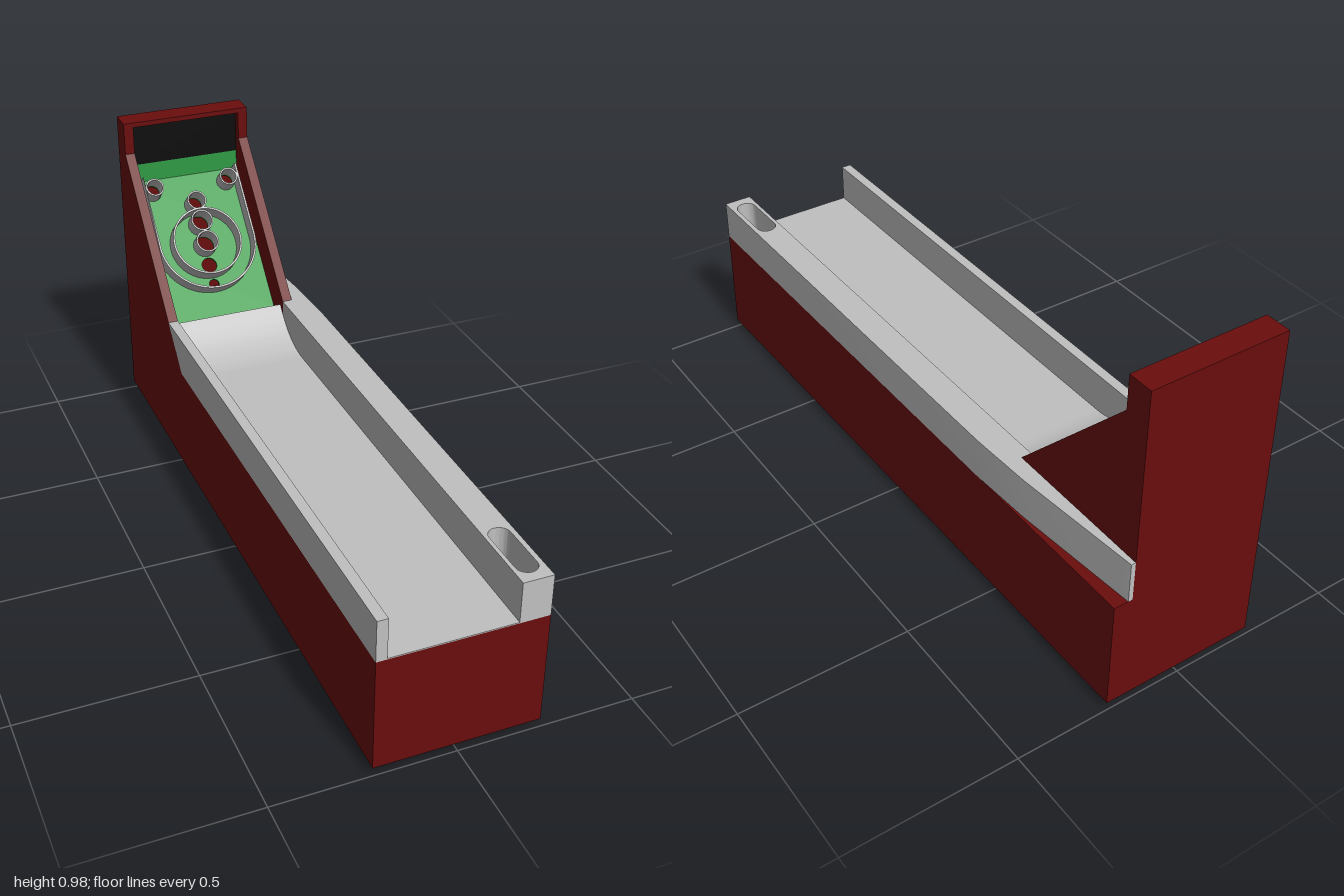
import * as THREE from 'three';
import { toCreasedNormals } from 'three/addons/utils/BufferGeometryUtils.js';

const material = (name, color) => {
  const m = new THREE.MeshStandardMaterial({ color });
  m.name = name;
  return m;
};

export function createModel() {
  const red = material('dark red', 0x6a0d0d);
  const grey = material('light grey', 0xc0c0c0);
  const green = material('green', 0x2f9a43);
  const black = material('black', 0x0d0d0d);

  const model = new THREE.Group();
  model.name = 'alleyRollGame';

  const add = (name, geometry, mat, parent = model) => {
    const mesh = new THREE.Mesh(geometry, mat);
    mesh.name = name;
    parent.add(mesh);
    return mesh;
  };
  // Box from its minimum and maximum corners
  const box = (name, mat, [x0, y0, z0], [x1, y1, z1]) => {
    const g = new THREE.BoxGeometry(x1 - x0, y1 - y0, z1 - z0);
    g.translate((x0 + x1) / 2, (y0 + y1) / 2, (z0 + z1) / 2);
    return add(name, g, mat);
  };
  const polygon = pts => new THREE.Shape(pts.map(([x, y]) => new THREE.Vector2(x, y)));
  const circle = (Type, x, y, r) => new Type().absarc(x, y, r, 0, Math.PI * 2, false);
  const extrude = (shape, depth, curveSegments = 24) => toCreasedNormals(
    new THREE.ExtrudeGeometry(shape, { depth, curveSegments, bevelEnabled: false }), 0.6);
  // Side profile in (z, y), spanning x0 to x1
  const profile = (name, mat, shape, x0, x1) => {
    const g = extrude(shape, x1 - x0);
    g.rotateY(-Math.PI / 2);
    g.translate(x1, 0, 0);
    return add(name, g, mat);
  };

  const inL = -0.2, inR = 0.145, deck = 0.355, railTop = 0.475;

  // Base cabinet and the ball underneath
  box('base', red, [-0.23, 0.025, -1], [0.23, deck, 1]);
  const ball = new THREE.SphereGeometry(0.02, 12, 8);
  ball.translate(-0.028, 0.02, -0.255);
  add('ball', ball, grey);

  // Lane with the upswept ramp
  const lane = new THREE.Shape();
  lane.moveTo(1, deck);
  lane.lineTo(1, deck + 0.003);
  lane.lineTo(-0.38, deck + 0.003);
  lane.quadraticCurveTo(-0.49, deck + 0.003, -0.565, 0.455);
  lane.lineTo(-0.565, 0.445);
  lane.quadraticCurveTo(-0.49, deck, -0.38, deck);
  profile('laneAndRamp', grey, lane, inL, inR);

  // Right-hand narrow rail, cut off along the cabinet slope
  profile('narrowRail', grey,
    polygon([[1, deck], [1, railTop], [-0.543, railTop], [-0.43, deck]]), -0.23, inL);

  // Wide rail with the ball slot and a tapering rear end, drawn in (x, -z)
  const rail = polygon([[inR, -1], [0.23, -1], [0.23, 0.43], [0.222, 0.62], [0.188, 1],
    [0.175, 1], [0.175, 0.543], [inR, 0.543]]);
  const slot = new THREE.Path();
  slot.absarc(0.186, -0.81, 0.03, 0, Math.PI, false);
  slot.absarc(0.186, -0.94, 0.03, Math.PI, Math.PI * 2, false);
  slot.closePath();
  rail.holes.push(slot);
  const railGeometry = extrude(rail, railTop - deck);
  railGeometry.rotateX(-Math.PI / 2);
  railGeometry.translate(0, deck, 0);
  add('wideRail', railGeometry, grey);

  // Score cabinet: sloped cheeks, back wall and top bar
  const cheekTop = [[-0.925, 0.88], [-0.925, 0.98], [-1, 0.98], [-1, deck]];
  profile('rightCheek', red, polygon([[-0.43, deck], ...cheekTop]), -0.23, inL);
  profile('leftCheek', red,
    polygon([[-0.543, deck], [-0.543, railTop], ...cheekTop]), inR, 0.175);
  box('backWall', red, [inL, deck, -1], [inR, 0.98, -0.955]);
  box('topBar', red, [inL, 0.965, -0.955], [inR, 0.98, -0.925]);
  box('displayPanel', black, [inL, 0.83, -0.955], [inR, 0.965, -0.951]);
  box('upperBoardStrip', green, [inL, 0.76, -0.955], [inR, 0.83, -0.951]);

  // Target board: local y runs up the slope, local z is its normal
  const target = new THREE.Group();
  target.name = 'targetBoard';
  target.position.set(-0.028, 0.594, -0.785);
  target.rotation.x = -0.756;
  model.add(target);

  // Cups: x, distance up the slope, radius
  const cups = [[0, 0.137, 0.031], [0, 0.069, 0.035], [0, -0.002, 0.036],
    [-0.123, 0.2, 0.029], [0.123, 0.2, 0.029]];
  const openings = [...cups.map(([x, y, r]) => [x, y, r - 0.005]),
    [0, -0.067, 0.024], [0, -0.131, 0.016]];
  const board = polygon([[-0.172, -0.241], [0.173, -0.241], [0.173, 0.247], [-0.172, 0.247]]);
  openings.forEach(([x, y, r]) => board.holes.push(circle(THREE.Path, x, y, r)));
  const boardGeometry = extrude(board, 0.008);
  boardGeometry.translate(0, 0, -0.008);
  add('board', boardGeometry, green, target);

  // Ring walls around the cups and the large scoring ring
  const ring = (name, x, y, r, wall, height) => {
    const shape = circle(THREE.Shape, x, y, r);
    shape.holes.push(circle(THREE.Path, x, y, r - wall));
    add(name, extrude(shape, height, 32), grey, target);
  };
  cups.forEach(([x, y, r], i) => ring('cup' + (i + 1), x, y, r, 0.005, 0.05));
  ring('largeRing', 0, 0, 0.111, 0.006, 0.053);

  // U-shaped outer fence
  const fence = new THREE.Shape();
  fence.moveTo(-0.158, 0.24);
  fence.absarc(0, 0, 0.158, Math.PI, Math.PI * 2, false);
  fence.lineTo(0.158, 0.24);
  fence.lineTo(0.152, 0.24);
  fence.absarc(0, 0, 0.152, Math.PI * 2, Math.PI, true);
  fence.lineTo(-0.152, 0.24);
  add('outerFence', extrude(fence, 0.05, 32), grey, target);

  return model;
}
